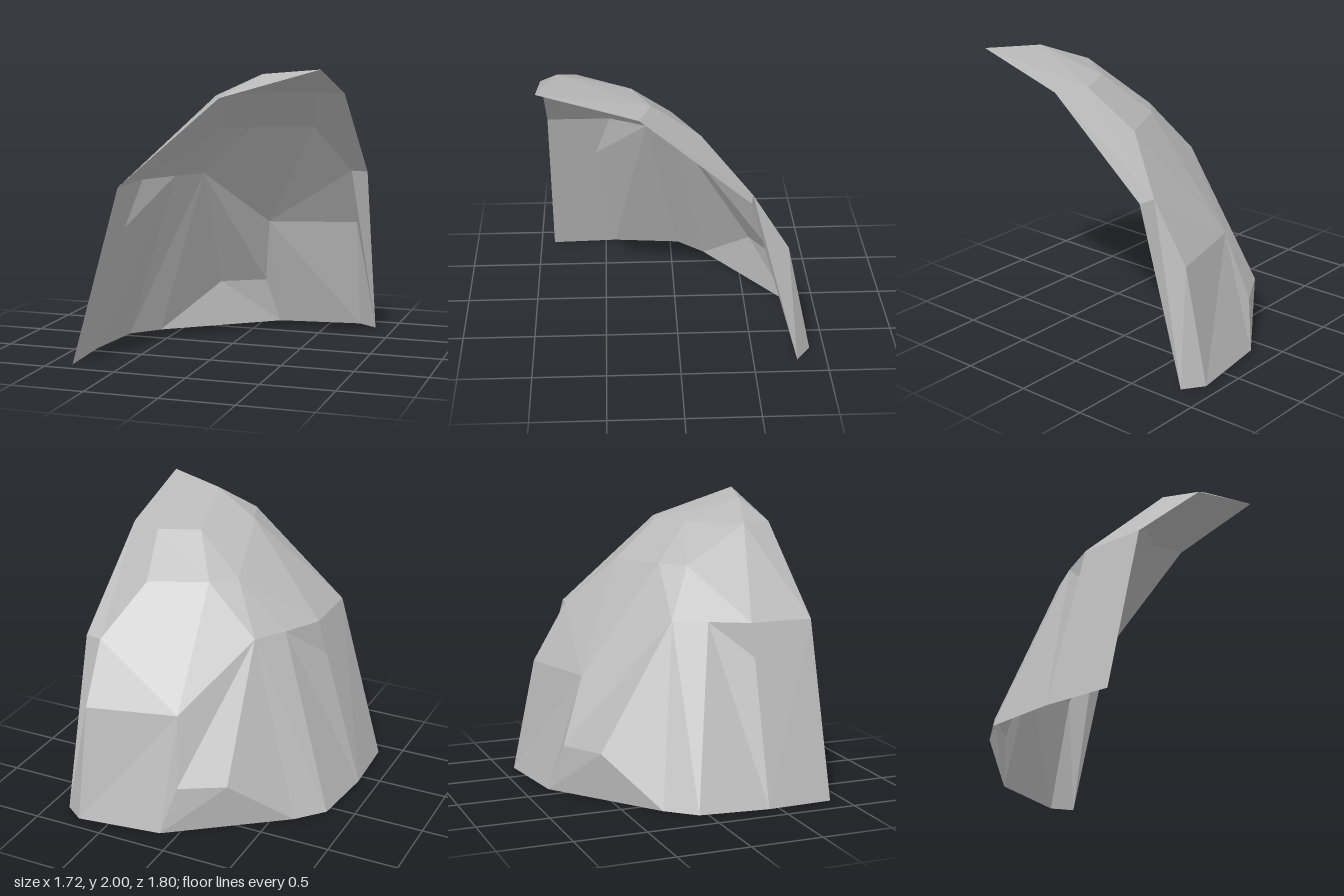
import * as THREE from 'three';

// Corner points of the faceted quarter shell, by height
const P = {
  // ground rim
  a0: [-0.84, 0, 0.9], a1: [-0.86, 0, 0.43], a2: [-0.81, 0, -0.06], a3: [-0.64, 0, -0.25],
  a4: [-0.2, 0, -0.58], a5: [0.12, 0, -0.82], a6: [0.72, 0, -0.9], a7: [0.86, 0, -0.8],
  // lower wall
  b0: [-0.27, 0.33, -0.56], b1: [0.03, 0.33, -0.73],
  c0: [-0.59, 0.89, 0.56], c1: [0.1, 0.8, -0.57], c2: [0.725, 0.8, -0.73],
  // shoulder
  d0: [-0.5, 1.21, 0.9], d1: [-0.5, 1.21, 0.45], d2: [-0.36, 1.21, 0.19],
  d3: [-0.22, 1.21, -0.02], d4: [0.74, 1.21, -0.48], d5: [0.86, 1.21, -0.46],
  // upper dome
  e0: [0, 1.55, 0.18], e1: [0.155, 1.55, 0.03], e2: [0.545, 1.55, -0.15],
  f0: [0.2, 1.81, 0.9], f1: [0.1, 1.81, 0.66], f2: [0.35, 1.81, 0.3],
  f3: [0.63, 1.81, 0.18], f4: [0.86, 1.81, 0.26],
  // crown
  g0: [0.45, 1.96, 0.78], g1: [0.86, 2, 0.9],
};

const PARTS = {
  lowerWall: [
    'a1 c0 d1 d0 a0', 'a1 a2 d2 c0', 'c0 d2 d1', 'd3 d2 a2 a3 b0',
    'd3 b0 b1 c1', 'c1 b1 a5 a6 c2',
  ],
  undercut: ['a3 a4 b0', 'b0 a4 a5 b1'],
  doorJamb: ['a7 a6 c2 d4 d5'],
  upperDome: [
    'd0 d1 f1 f0', 'e0 f1 d1 d2 d3', 'd3 c1 e1 e0', 'c1 c2 d4 e2 e1',
    'd4 d5 f4 f3 e2', 'e0 e1 f2 f1', 'e1 e2 f3 f2',
  ],
  crown: ['g0 f1 f2 f3', 'g0 f3 g1', 'f3 f4 g1', 'f0 f1 g0', 'f0 g0 g1'],
};

// Fans each facet into triangles that face away from the inside of the dome
function facetGeometry(facets) {
  const inside = new THREE.Vector3(0.86, 0.4, 0.9);
  const out = [];
  for (const facet of facets) {
    const v = facet.split(' ').map((k) => new THREE.Vector3(...P[k]));
    for (let i = 1; i < v.length - 1; i++) {
      const tri = new THREE.Triangle(v[0], v[i], v[i + 1]);
      const normal = tri.getNormal(new THREE.Vector3());
      const away = tri.getMidpoint(new THREE.Vector3()).sub(inside);
      const order = normal.dot(away) > 0 ? [tri.a, tri.b, tri.c] : [tri.a, tri.c, tri.b];
      order.forEach((p) => out.push(p.x, p.y, p.z));
    }
  }
  const geometry = new THREE.BufferGeometry();
  geometry.setAttribute('position', new THREE.Float32BufferAttribute(out, 3));
  geometry.computeVertexNormals();
  return geometry;
}

export function createModel() {
  const group = new THREE.Group();
  group.name = 'quarterDomeShell';
  const stone = new THREE.MeshStandardMaterial({ color: 0xb8b8b8, flatShading: true, side: THREE.DoubleSide });
  stone.name = 'grey stone';
  for (const [name, facets] of Object.entries(PARTS)) {
    const mesh = new THREE.Mesh(facetGeometry(facets), stone);
    mesh.name = name;
    group.add(mesh);
  }
  return group;
}
